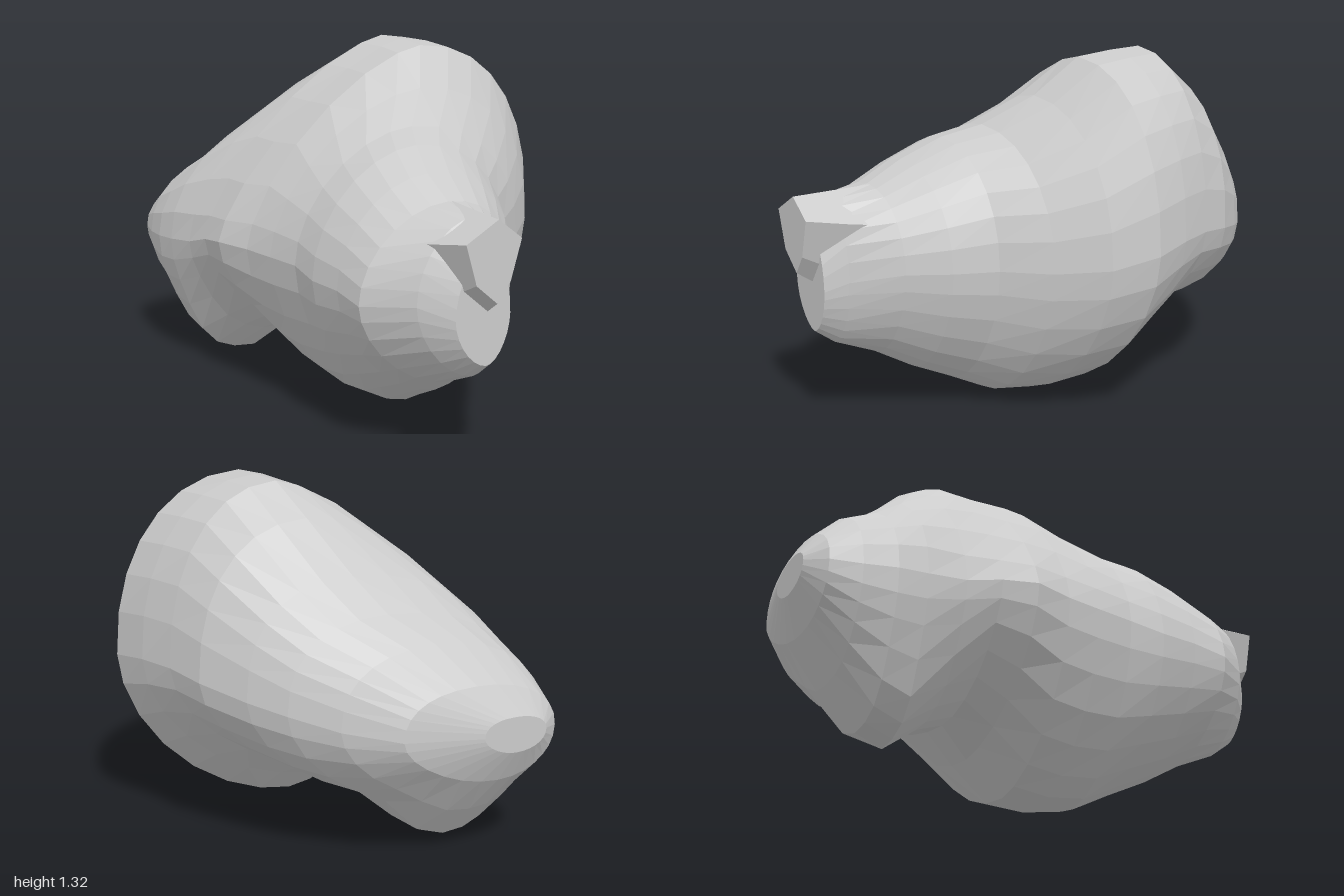
import * as THREE from 'three';

const SIDES = 28;
const { smoothstep, lerp } = THREE.MathUtils;

// Each row: z, then the top, +x side, bottom and -x side points (x, y) of one cross-section
const SECTIONS = [
  [0.94, -0.14, 0.75, -0.04, 0.54, -0.13, 0.37, -0.25, 0.54],
  [0.86, -0.14, 0.86, 0, 0.57, -0.13, 0.31, -0.35, 0.58],
  [0.7, -0.14, 0.88, 0.12, 0.6, -0.13, 0.24, -0.48, 0.56],
  [0.56, -0.14, 0.95, 0.21, 0.6, -0.1, 0.16, -0.49, 0.58],
  [0.41, -0.1, 1.02, 0.28, 0.6, -0.08, 0.09, -0.51, 0.58],
  [0.27, -0.04, 1.06, 0.42, 0.6, -0.06, 0.02, -0.51, 0.6],
  [0.12, 0.08, 1.17, 0.56, 0.62, -0.06, 0, -0.54, 0.6],
  [-0.02, 0.16, 1.31, 0.65, 0.67, -0.05, 0.02, -0.57, 0.6],
  [-0.17, 0.16, 1.32, 0.61, 0.69, -0.06, 0.14, -0.62, 0.6],
  [-0.31, 0.15, 1.32, 0.56, 0.69, -0.15, 0.22, -0.62, 0.58],
  [-0.45, 0.1, 1.21, 0.51, 0.67, -0.24, 0.21, -0.63, 0.54],
  [-0.6, 0, 1.03, 0.4, 0.63, -0.3, 0.18, -0.65, 0.52],
  [-0.71, -0.08, 0.91, 0.3, 0.6, -0.33, 0.18, -0.66, 0.51],
  [-0.83, -0.2, 0.82, 0.16, 0.56, -0.36, 0.24, -0.65, 0.5],
  [-0.94, -0.3, 0.69, -0.02, 0.53, -0.4, 0.34, -0.63, 0.5],
  [-1.0, -0.42, 0.58, -0.3, 0.52, -0.43, 0.45, -0.55, 0.52],
];

// Closed outline of four superellipse quarters; a higher power gives a straighter quarter
function sectionRing([z, tx, ty, rx, ry, bx, by, lx, ly]) {
  const rear = smoothstep(-z, 0.3, 0.65);
  const shoulder = lerp(1.08, 0.95, rear) + 0.38 * Math.exp(-((z + 0.2) ** 2) / 0.1);
  const quarters = [
    [tx, ty, rx, ry, lerp(0.92, 0.82, rear), true],
    [bx, by, rx, ry, 1.15, false],
    [bx, by, lx, ly, lerp(1.15, 0.9, rear), true],
    [tx, ty, lx, ly, shoulder, false],
  ];
  const n = SIDES / 4;
  const ring = [];
  for (const [px, py, sx, sy, power, fromPole] of quarters) {
    for (let k = 0; k < n; k++) {
      const a = ((fromPole ? k : n - k) / n) * Math.PI / 2;
      const u = Math.sin(a) ** power;
      const v = Math.max(0, Math.cos(a)) ** power;
      const x = px + (sx - px) * u;
      const y = sy + (py - sy) * v;
      // Foot drawn down out of the rear underside
      const foot = 0.16 * Math.exp(-(((x + 0.37) / 0.22) ** 4) - ((z + 0.62) / 0.2) ** 2);
      ring.push([x, y - foot * smoothstep(0.5 - y, 0, 0.25), z]);
    }
  }
  return ring;
}

// Skin rings that run from front to back, with a cap on each end
function loft(rings) {
  const n = rings[0].length;
  const positions = rings.flat(2);
  const index = [];
  for (let i = 0; i < rings.length - 1; i++) {
    for (let j = 0; j < n; j++) {
      const a = i * n + j;
      const b = i * n + (j + 1) % n;
      index.push(a, b, a + n, b, b + n, a + n);
    }
  }
  [0, rings.length - 1].forEach((r, end) => {
    const center = positions.length / 3;
    for (let k = 0; k < 3; k++) {
      positions.push(rings[r].reduce((sum, p) => sum + p[k], 0) / n);
    }
    for (let j = 0; j < n; j++) {
      const a = r * n + j;
      const b = r * n + (j + 1) % n;
      index.push(center, end ? a : b, end ? b : a);
    }
  });
  const geometry = new THREE.BufferGeometry();
  geometry.setAttribute('position', new THREE.Float32BufferAttribute(positions, 3));
  geometry.setIndex(index);
  geometry.computeVertexNormals();
  return geometry;
}

export function createModel() {
  const group = new THREE.Group();
  group.name = 'lumpyRock';
  const material = new THREE.MeshStandardMaterial({ color: 0xcccccc, flatShading: true });
  const add = (name, geometry) => {
    const mesh = new THREE.Mesh(geometry, material);
    mesh.name = name;
    group.add(mesh);
  };

  // Main faceted body with its rear foot
  add('body', loft(SECTIONS.map(sectionRing)));

  // Flat-ended snout, flaring into the body
  const tip = [[-0.13, 0.88], [-0.04, 0.81], [-0.08, 0.67], [-0.13, 0.6], [-0.21, 0.67], [-0.25, 0.81]];
  const snoutRings = [[1, 1], [0.86, 1.35], [0.7, 1.7]].map(([z, s]) =>
    tip.map(([x, y]) => [-0.14 + (x + 0.14) * s, 0.88 + (y - 0.88) * s, z]));
  add('snout', loft(snoutRings));

  return group;
}
